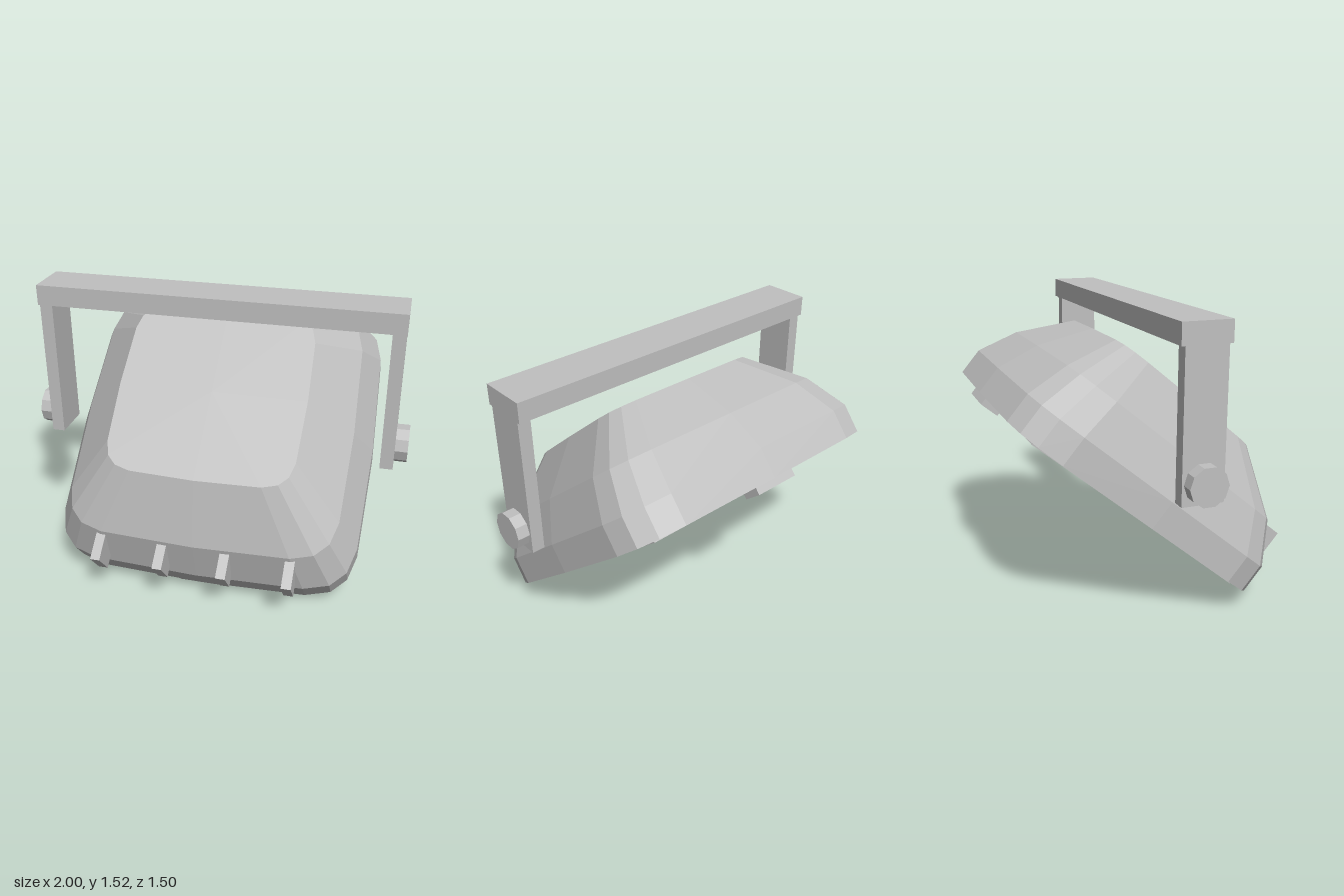
import * as THREE from 'three';

const grey = new THREE.MeshStandardMaterial({ color: 0xc0c0c0, flatShading: true });
grey.name = 'grey metal';

function add(parent, name, geometry, x = 0, y = 0, z = 0) {
  const mesh = new THREE.Mesh(geometry, grey);
  mesh.name = name;
  mesh.position.set(x, y, z);
  parent.add(mesh);
  return mesh;
}

const box = (w, h, d) => new THREE.BoxGeometry(w, h, d);

// Housing: rounded-square rings stacked along y, capped at both ends
function housingGeometry() {
  const quarter = [[1, 0], [0.98, 0.68], [0.935, 0.84], [0.84, 0.935], [0.68, 0.98]];
  const outline = [];
  for (let q = 0, pts = quarter; q < 4; q++) {
    outline.push(...pts);
    pts = pts.map(([x, z]) => [-z, x]);
  }
  // height, scale, shift along z
  const rings = [[0, 1, 0], [0.155, 1, 0], [0.368, 0.882, 0], [0.617, 0.6, -0.042]];
  const n = outline.length;
  const pos = [];
  const index = [];
  for (const [h, s, dz] of rings) {
    for (const [x, z] of outline) pos.push(x * s * 0.82, h, z * s * 0.806 + dz);
  }
  const bottom = rings.length * n;
  const top = bottom + 1;
  pos.push(0, 0, 0, 0, 0.617, -0.042);
  for (let i = 0; i < n; i++) {
    const j = (i + 1) % n;
    for (let r = 0; r < rings.length - 1; r++) {
      const a = r * n + i, b = r * n + j;
      index.push(a, a + n, b, b, a + n, b + n);
    }
    const last = (rings.length - 1) * n;
    index.push(bottom, i, j, top, last + j, last + i);
  }
  const g = new THREE.BufferGeometry();
  g.setAttribute('position', new THREE.Float32BufferAttribute(pos, 3));
  g.setIndex(index);
  const flat = g.toNonIndexed();
  flat.computeVertexNormals();
  return flat;
}

export function createModel() {
  const model = new THREE.Group();
  model.name = 'floodlight';

  // Tilted lamp head
  const head = new THREE.Group();
  head.name = 'lampHead';
  head.position.set(0, 0.545, -0.11);
  head.rotation.x = THREE.MathUtils.degToRad(40);
  model.add(head);
  add(head, 'housing', housingGeometry());
  add(head, 'frontGlass', box(1.34, 0.033, 1.34), 0, 0.0035, 0);
  for (const s of [-1, 1]) add(head, 'glassClip', box(0.25, 0.058, 0.103), 0, -0.009, s * 0.747);
  for (const x of [-0.495, -0.165, 0.165, 0.495]) {
    add(head, 'coolingFin', box(0.05, 0.157, 0.143), x, 0.268, 0.7715);
  }

  // Mounting bracket
  const bracket = new THREE.Group();
  bracket.name = 'bracket';
  model.add(bracket);
  add(bracket, 'crossBar', box(1.876, 0.105, 0.25), 0, 1.468, 0.086);
  for (const s of [-1, 1]) {
    add(bracket, 'bracketLeg', box(0.067, 0.74, 0.213), s * 0.902, 1.05, 0.087);
    const knob = new THREE.CylinderGeometry(0.098, 0.098, 0.066, 10);
    knob.rotateZ(Math.PI / 2);
    add(bracket, 'pivotKnob', knob, s * 0.967, 0.785, 0.088);
  }
  return model;
}
